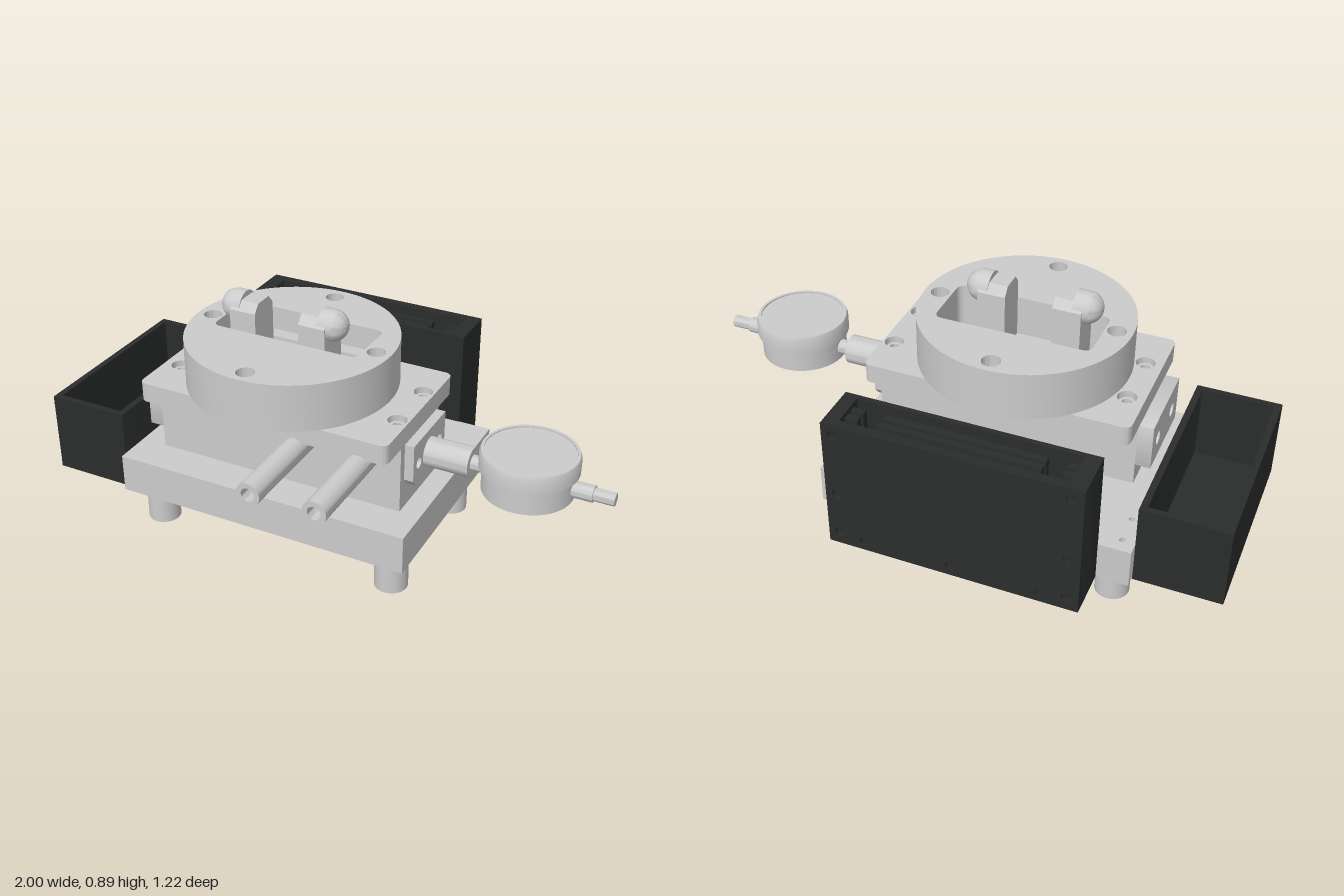
import * as THREE from 'three';
import { toCreasedNormals } from 'three/addons/utils/BufferGeometryUtils.js';

const grey = new THREE.MeshStandardMaterial({ color: 0xcccccc });
const black = new THREE.MeshStandardMaterial({ color: 0x2b2d2d });

export function createModel() {
  const root = new THREE.Group();

  const add = (name, geo, mat = grey, parent = root) => {
    const mesh = new THREE.Mesh(geo, mat);
    mesh.name = name;
    parent.add(mesh);
    return mesh;
  };
  const group = (name) => {
    const g = new THREE.Group();
    g.name = name;
    root.add(g);
    return g;
  };
  // Box from its limits on each axis
  const box = (x0, x1, y0, y1, z0, z1) =>
    new THREE.BoxGeometry(x1 - x0, y1 - y0, z1 - z0)
      .translate((x0 + x1) / 2, (y0 + y1) / 2, (z0 + z1) / 2);
  const trace = (path, x0, x1, y0, y1, r) => {
    path.moveTo(x0 + r, y0);
    path.lineTo(x1 - r, y0).quadraticCurveTo(x1, y0, x1, y0 + r);
    path.lineTo(x1, y1 - r).quadraticCurveTo(x1, y1, x1 - r, y1);
    path.lineTo(x0 + r, y1).quadraticCurveTo(x0, y1, x0, y1 - r);
    path.lineTo(x0, y0 + r).quadraticCurveTo(x0, y0, x0 + r, y0);
    return path;
  };
  const rect = (x0, x1, y0, y1, r = 0.001) => trace(new THREE.Shape(), x0, x1, y0, y1, r);
  const polygon = (pts) => new THREE.Shape(pts.map((p) => new THREE.Vector2(...p)));
  const drill = (shape, spots, r) => {
    for (const [x, y] of spots) shape.holes.push(new THREE.Path().absarc(x, y, r, 0, Math.PI * 2, true));
    return shape;
  };
  const extrude = (shape, depth, seg = 24) => toCreasedNormals(
    new THREE.ExtrudeGeometry(shape, { depth, bevelEnabled: false, curveSegments: seg }), 0.6);
  // Horizontal plate, shape drawn in (x, z)
  const slab = (shape, y0, y1, seg) => extrude(shape, y1 - y0, seg).rotateX(Math.PI / 2).translate(0, y1, 0);
  // Plate across the x axis, shape drawn in (z, y)
  const endPlate = (shape, x0, x1) => extrude(shape, x1 - x0).rotateY(-Math.PI / 2).translate(x1, 0, 0);
  // Turned part, profile is [radius, height]
  const lathe = (pts, seg = 40) => toCreasedNormals(
    new THREE.LatheGeometry(pts.map((p) => new THREE.Vector2(...p)), seg), 0.6);
  const tube = (r, hole, len, depth) =>
    lathe([[0, depth], [hole, depth], [hole, 0], [r, 0], [r, len], [0, len]], 32);
  const grid = (xs, zs) => xs.flatMap((x) => zs.map((z) => [x, z]));

  // Base plate: bolt holes below, small tapped holes above
  const base = group('base');
  add('baseLower', slab(drill(rect(-0.7, 0.4, -0.44, 0.33),
    grid([-0.465, 0.265], [-0.13, 0.075]), 0.021), 0.15, 0.23), grey, base);
  add('baseUpper', slab(drill(rect(-0.7, 0.4, -0.44, 0.33),
    grid([-0.655, -0.44], [-0.39, -0.285]), 0.01), 0.23, 0.29), grey, base);
  for (const [x, z] of grid([-0.615, 0.31], [-0.315, 0.215])) {
    add('foot', tube(0.059, 0.032, 0.15, 0.06), grey, base).position.set(x, 0, z);
  }

  // Slide body with end plates
  const slide = group('slide');
  add('slideBody', box(-0.605, 0.325, 0.29, 0.535, -0.11, 0.195), grey, slide);
  add('leftEndPlate', endPlate(drill(rect(-0.11, 0.195, 0.37, 0.535),
    [[-0.04, 0.45], [0.125, 0.45]], 0.025), -0.658, -0.605), grey, slide);
  const bracket = polygon([[-0.07, 0.37], [0.14, 0.37], [0.165, 0.4], [0.165, 0.535], [-0.095, 0.535], [-0.095, 0.4]]);
  add('rightEndPlate', endPlate(drill(bracket, [[-0.05, 0.45], [0.12, 0.45]], 0.02), 0.325, 0.358), grey, slide);
  add('lockPlate', box(0.105, 0.26, 0.48, 0.535, 0.195, 0.205), grey, slide);

  // Stage plate with sunk screws
  const screws = grid([-0.55, 0.285], [-0.07, 0.14]);
  const stage = group('stage');
  add('stagePlate', slab(drill(rect(-0.61, 0.325, -0.23, 0.31, 0.03), screws, 0.033), 0.535, 0.605), grey, stage);
  for (const [x, z] of screws) {
    add('stageScrew', lathe([[0.028, 0], [0.028, 0.05], [0.017, 0.05], [0.017, 0.03], [0, 0.03]], 20), grey, stage)
      .position.set(x, 0.535, z);
  }

  // Round table with a central pocket
  const cx = -0.157, cz = 0.037;
  const table = group('roundTable');
  const disc = new THREE.Shape().absarc(cx, cz, 0.368, 0, Math.PI * 2);
  disc.holes.push(trace(new THREE.Path(), -0.43, 0.115, -0.11, 0.105, 0.03));
  const tableHoles = [[cx, cz - 0.314], [cx, cz + 0.314], [cx - 0.314, cz], [cx + 0.314, cz]];
  add('tableDisc', slab(drill(disc, tableHoles, 0.032), 0.605, 0.775, 48), grey, table);
  add('pocketLedge', box(-0.42, 0.105, 0.605, 0.69, -0.11, -0.06), grey, table);
  for (const [x, z] of tableHoles.slice(0, 2)) {
    add('tableScrew', lathe([[0.032, 0], [0.032, 0.12], [0.018, 0.12], [0.018, 0.08], [0, 0.08]], 20), grey, table)
      .position.set(x, 0.605, z);
  }

  // Pair of jaws, each with a round-nosed pin facing outward
  const jawProfile = polygon([[-0.02, 0.605], [0.1, 0.605], [0.1, 0.845], [0.075, 0.875], [0.005, 0.875], [-0.02, 0.845]]);
  const pin = [[0, 0], [0.055, 0]];
  for (let i = 0; i <= 12; i++) {
    const a = i / 12 * Math.PI / 2;
    pin.push([0.055 * Math.cos(a), 0.035 + 0.055 * Math.sin(a)]);
  }
  for (const side of [-1, 1]) {
    const jaw = group(side < 0 ? 'rightJaw' : 'leftJaw');
    jaw.position.x = -0.183;
    const x0 = side < 0 ? -0.18 : 0.082;
    add('jawBlock', endPlate(jawProfile, x0, x0 + 0.098), grey, jaw);
    add('pin', lathe(pin, 32).rotateZ(-side * Math.PI / 2).translate(side * 0.147, 0.84, 0.04), grey, jaw);
  }
  add('jawRail', box(-0.385, 0.04, 0.605, 0.635, -0.02, 0.1), grey, table);

  // Two rods reaching forward from the slide
  for (const [x, z] of [[-0.008, 0.61], [0.222, 0.605]]) {
    add('frontRod', tube(0.042, 0.024, z - 0.19, 0.08).rotateX(-Math.PI / 2), grey).position.set(x, 0.505, z);
  }

  // Dial indicator on the left end
  const dial = group('dialIndicator');
  const stem = lathe([[0, 0], [0.052, 0], [0.052, 0.157], [0.027, 0.157], [0.027, 0.22], [0, 0.22]]);
  add('stem', stem.rotateZ(-Math.PI / 2).translate(0.358, 0.45, 0.037), grey, dial);
  add('dialCase', lathe([[0, 0.405], [0.153, 0.405], [0.153, 0.482], [0.165, 0.49], [0.165, 0.538],
    [0.16, 0.552], [0.15, 0.552], [0.15, 0.547], [0, 0.547]], 64), grey, dial).position.set(0.709, 0, 0.037);
  const plunger = lathe([[0, 0], [0.028, 0], [0.028, 0.08], [0.022, 0.08], [0.022, 0.15], [0, 0.15]], 32);
  add('plunger', plunger.rotateZ(-Math.PI / 2).translate(0.85, 0.45, 0.037), grey, dial);

  // Open tray on the right end
  const tray = group('tray');
  const trayWall = rect(-1, -0.702, -0.405, 0.305);
  trayWall.holes.push(trace(new THREE.Path(), -0.977, -0.725, -0.382, 0.282, 0.002));
  add('trayWalls', slab(trayWall, 0.17, 0.445), black, tray);
  add('trayFloor', box(-1, -0.702, 0.15, 0.17, -0.405, 0.305), black, tray);

  // Rear case: drilled back panel, open top and notched dividers
  const rear = group('rearCase');
  const panel = drill(rect(-0.59, 0.28, 0.15, 0.64), [
    ...grid([-0.55, 0.24], [0.2, 0.36, 0.6]), ...grid([-0.46, -0.155, 0.15], [0.185])], 0.018);
  add('backPanel', extrude(panel, 0.015).translate(0, 0, -0.613), black, rear);
  const caseWall = rect(-0.59, 0.28, -0.598, -0.437);
  caseWall.holes.push(trace(new THREE.Path(), -0.535, 0.23, -0.58, -0.455, 0.002));
  add('caseWalls', slab(caseWall, 0.17, 0.64), black, rear);
  add('caseFloor', box(-0.59, 0.28, 0.15, 0.17, -0.598, -0.437), black, rear);
  const divider = polygon([[-0.535, 0.17], [0.23, 0.17], [0.23, 0.625], [0.185, 0.625], [0.185, 0.52], [0.12, 0.52],
    [0.12, 0.625], [-0.43, 0.625], [-0.43, 0.52], [-0.495, 0.52], [-0.495, 0.625], [-0.535, 0.625]]);
  for (const z of [-0.545, -0.505]) {
    add('divider', extrude(divider, 0.025).translate(0, 0, z), black, rear);
  }
  return root;
}
